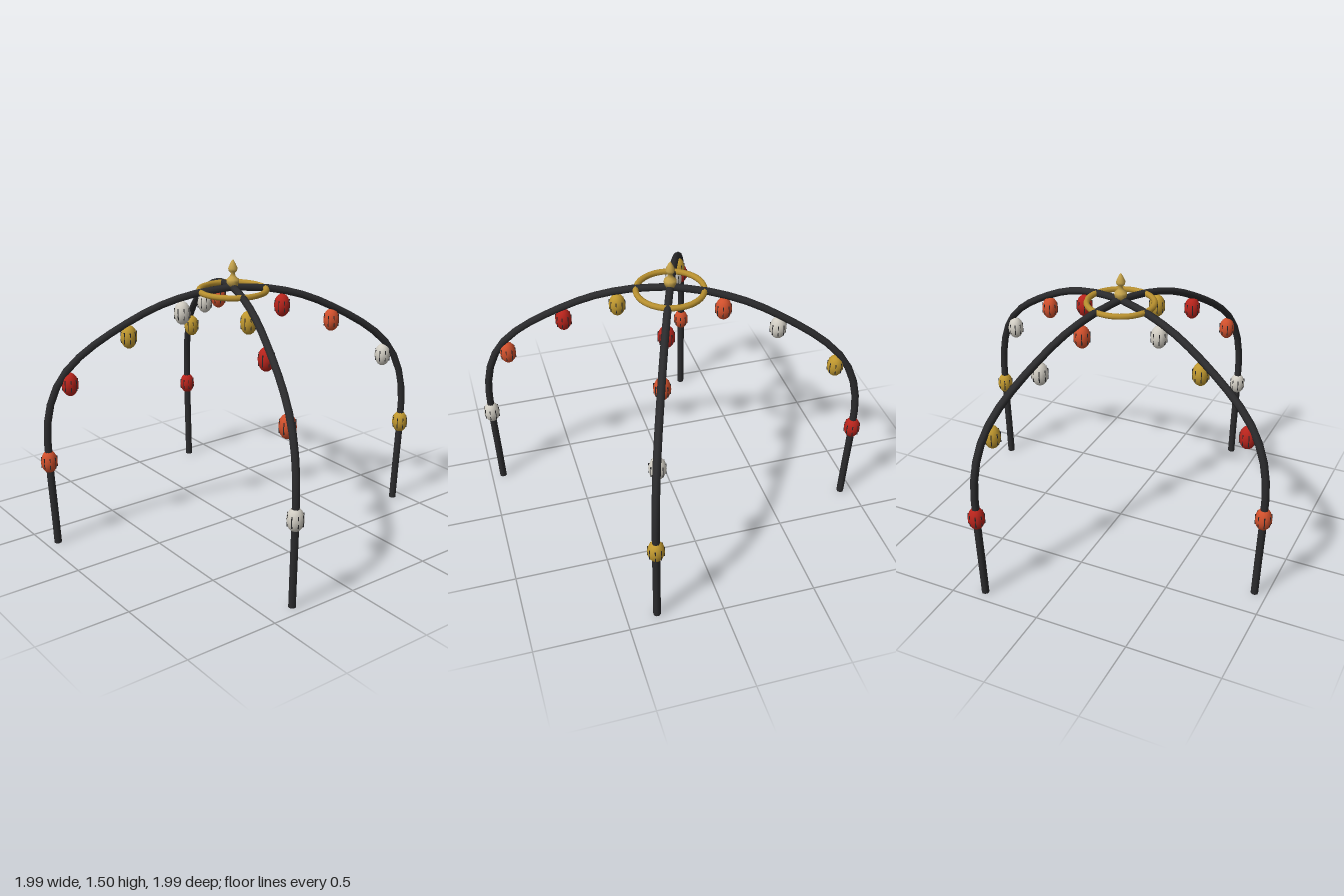
import * as THREE from 'three';

const paint = (name, color) => Object.assign(new THREE.MeshStandardMaterial({ color }), { name });

function add(parent, name, geometry, material, x = 0, y = 0, z = 0) {
  const mesh = new THREE.Mesh(geometry, material);
  mesh.name = name;
  mesh.position.set(x, y, z);
  parent.add(mesh);
  return mesh;
}

export function createModel() {
  const root = new THREE.Group();
  root.name = 'lanternArch';

  const iron = paint('dark iron', 0x2b2b2d);
  const brass = paint('brass', 0xb8902f);
  const paleBrass = paint('pale brass', 0xc4a24a);
  const lanternColours = [
    paint('lantern red', 0xb8241c),
    paint('lantern orange', 0xd0502c),
    paint('lantern white', 0xd2cec4),
    paint('lantern gold', 0xc0982f),
  ];

  // Half-arch from foot to crown, as [radius, height]
  const profile = [
    [0.995, 0], [1.003, 0.2], [1.014, 0.46], [1.012, 0.69], [0.968, 0.86], [0.888, 0.985],
    [0.785, 1.075], [0.643, 1.165], [0.42, 1.275], [0.216, 1.332], [0, 1.355],
  ];
  const curve = new THREE.CatmullRomCurve3(profile.map(([r, y]) => new THREE.Vector3(r, y, 0)));
  const legGeometry = new THREE.TubeGeometry(curve, 20, 0.02, 8);
  const footGeometry = new THREE.CircleGeometry(0.02, 8).rotateX(Math.PI / 2);

  const bulbGeometry = new THREE.SphereGeometry(0.044, 12, 10).scale(1, 0.063 / 0.044, 1);
  const ribGeometry = new THREE.CylinderGeometry(0.003, 0.003, 0.06, 5);
  const lanternSpots = [[0.277, 1.235], [0.565, 1.13], [0.883, 0.9], [1.015, 0.48]];

  // Four legs, each with four lanterns whose colours shift by one per leg
  for (let k = 0; k < 4; k++) {
    const arm = new THREE.Group();
    arm.name = `arm${k + 1}`;
    arm.rotation.y = THREE.MathUtils.degToRad(90 * k - 20);
    root.add(arm);
    add(arm, 'leg', legGeometry, iron);
    add(arm, 'footCap', footGeometry, iron, profile[0][0], 0, 0);

    lanternSpots.forEach(([r, y], i) => {
      const lantern = new THREE.Group();
      lantern.name = 'lantern';
      lantern.position.set(r, y, 0);
      arm.add(lantern);
      add(lantern, 'lanternBody', bulbGeometry, lanternColours[(k + i) % 4]);
      for (let j = 0; j < 8; j++) {
        const a = (j / 8) * Math.PI * 2;
        add(lantern, 'lanternRib', ribGeometry, iron, 0.0405 * Math.cos(a), 0, 0.0405 * Math.sin(a));
      }
    });
  }

  // Crown ring under the crossing
  add(root, 'crownRing', new THREE.TorusGeometry(0.178, 0.016, 8, 32).rotateX(Math.PI / 2), brass, 0, 1.339, 0);

  // Turned finial
  const finial = [
    [0, 1.36], [0.028, 1.362], [0.034, 1.385], [0.032, 1.398], [0.016, 1.412], [0.01, 1.428],
    [0.022, 1.442], [0.025, 1.456], [0.016, 1.478], [0.006, 1.497], [0, 1.503],
  ].map(([r, y]) => new THREE.Vector2(r, y));
  add(root, 'finial', new THREE.LatheGeometry(finial, 12), paleBrass);

  return root;
}
